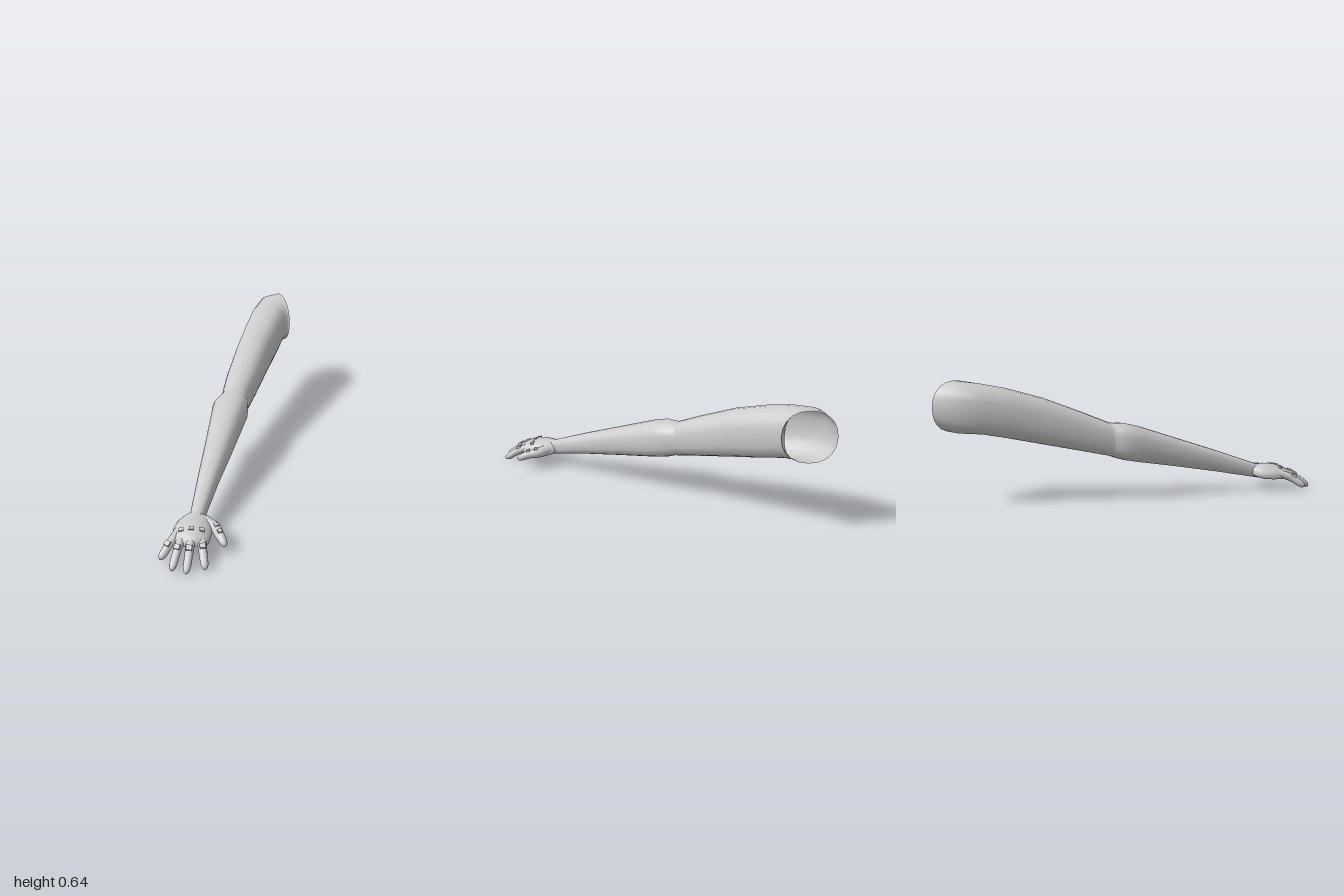
import * as THREE from 'three';
import { mergeVertices } from 'three/addons/utils/BufferGeometryUtils.js';

const grey = new THREE.MeshStandardMaterial({ color: 0xcccccc, side: THREE.DoubleSide });

// Skins rings of equal point count, listed from +z towards -z.
function loft(rings) {
  const n = rings[0].length, index = [];
  for (let i = 0; i < rings.length - 1; i++) {
    for (let j = 0; j < n; j++) {
      const a = i * n + j, b = i * n + (j + 1) % n, c = a + n, d = b + n;
      index.push(a, c, b, b, c, d);
    }
  }
  const geo = new THREE.BufferGeometry();
  geo.setAttribute('position', new THREE.Float32BufferAttribute(rings.flat(2), 3));
  geo.setIndex(index);
  geo.computeVertexNormals();
  return geo;
}

// Rounded cross-section between two x and two y limits; slant leans z with x, sag drops the sides.
function ring([z, x0, x1, y0, y1], { slant = 0, sag = 0, power = 2.5, n = 20 } = {}) {
  return Array.from({ length: n }, (_, j) => {
    const a = (j / n) * Math.PI * 2;
    const c = Math.cos(a), s = Math.sin(a);
    const u = Math.sign(c) * Math.abs(c) ** (2 / power);
    const v = Math.sign(s) * Math.abs(s) ** (2 / power);
    return [
      (x0 + x1) / 2 + u * (x1 - x0) / 2,
      (y0 + y1) / 2 + v * (y1 - y0) / 2 - sag * u * u,
      z + slant * u,
    ];
  });
}

// Tapered finger with a rounded tip, following a curve.
function fingerGeometry(curve, r0, r1) {
  const geo = new THREE.TubeGeometry(curve, 20, 1, 12);
  const p = geo.attributes.position, c = new THREE.Vector3(), v = new THREE.Vector3();
  for (let i = 0; i < p.count; i++) {
    const t = Math.floor(i / 13) / 20;
    curve.getPointAt(t, c);
    const round = t > 0.8 ? Math.sqrt(Math.max(0, 1 - ((t - 0.8) / 0.2) ** 2)) : 1;
    v.fromBufferAttribute(p, i).sub(c).multiplyScalar((r0 + (r1 - r0) * t) * round).add(c);
    p.setXYZ(i, v.x, v.y, v.z);
  }
  geo.deleteAttribute('uv');
  geo.deleteAttribute('normal');
  const merged = mergeVertices(geo, 1e-5);
  merged.computeVertexNormals();
  return merged;
}

export function createModel() {
  const model = new THREE.Group();
  const add = (name, geo, parent = model) => {
    const mesh = new THREE.Mesh(geo, grey);
    mesh.name = name;
    parent.add(mesh);
    return mesh;
  };

  // Forearm, flaring from the open wrist to the elbow
  add('forearm', loft([
    [0.69, -0.205, -0.137, 0.072, 0.148],
    [0.45, -0.172, -0.068, 0.122, 0.24],
    [0.21, -0.137, 0.008, 0.167, 0.327],
    [0.02, -0.112, 0.065, 0.2, 0.395],
    [-0.05, -0.104, 0.086, 0.214, 0.411],
    [-0.09, -0.08, 0.088, 0.226, 0.412],
    [-0.12, -0.06, 0.09, 0.238, 0.416],
  ].map((r) => ring(r))));

  // Upper arm, ending in a slanted open rim that faces the body
  const upper = [
    [-0.12, -0.06, 0.09, 0.238, 0.416],
    [-0.26, -0.032, 0.145, 0.27, 0.478],
    [-0.45, 0.018, 0.212, 0.312, 0.557],
    [-0.63, 0.068, 0.278, 0.352, 0.612],
  ].map((r) => ring(r));
  upper.push(ring([-0.75, 0.108, 0.308, 0.378, 0.638], { slant: 0.03 }));
  upper.push(ring([-0.84, 0.16, 0.325, 0.386, 0.65], { slant: 0.085 }));
  upper.push(ring([-0.87, 0.25, 0.337, 0.388, 0.652], { slant: 0.128, power: 2.2 }));
  add('upperArm', loft(upper));

  // Palm, arched across its width
  const hand = new THREE.Group();
  hand.name = 'hand';
  model.add(hand);
  add('palm', loft([
    [0.865, -0.2, -0.18, 0.095, 0.1],
    [0.858, -0.245, -0.125, 0.083, 0.118],
    [0.835, -0.272, -0.107, 0.07, 0.13],
    [0.79, -0.283, -0.097, 0.068, 0.142],
    [0.745, -0.28, -0.09, 0.07, 0.148],
    [0.7, -0.266, -0.088, 0.075, 0.149],
    [0.67, -0.24, -0.108, 0.085, 0.147],
    [0.652, -0.215, -0.13, 0.1, 0.14],
    [0.648, -0.18, -0.165, 0.118, 0.122],
  ].map((r) => ring(r, { sag: 0.018, power: 2.2 }))), hand);

  // Digits: path points, root and tip radius, and where the armour blocks sit
  const digits = [
    ['littleFinger', [[-0.25, 0.103, 0.77], [-0.288, 0.081, 0.835], [-0.337, 0.03, 0.9]], [0.54]],
    ['ringFinger', [[-0.225, 0.108, 0.79], [-0.25, 0.081, 0.87], [-0.279, 0.014, 0.968]], [0.46]],
    ['middleFinger', [[-0.188, 0.11, 0.79], [-0.196, 0.084, 0.88], [-0.211, 0.012, 0.99]], [0.46]],
    ['indexFinger', [[-0.145, 0.108, 0.78], [-0.137, 0.082, 0.87], [-0.122, 0.02, 0.968]], [0.47]],
    ['thumb', [[-0.135, 0.108, 0.69], [-0.08, 0.1, 0.735], [-0.06, 0.092, 0.78], [-0.028, 0.067, 0.845]], [0.42, 0.62]],
  ];
  for (const [name, points, blocks] of digits) {
    const curve = new THREE.CatmullRomCurve3(points.map((p) => new THREE.Vector3(...p)));
    const thumb = name === 'thumb';
    add(name, fingerGeometry(curve, thumb ? 0.032 : 0.023, 0.018), hand);
    for (const t of blocks) {
      const size = thumb ? [0.022, 0.01, 0.02] : [0.028, 0.012, 0.026];
      const block = add(name + 'Block', new THREE.BoxGeometry(...size), hand);
      const c = curve.getPointAt(t);
      block.position.copy(c);
      block.lookAt(c.clone().add(curve.getTangentAt(t)));
      block.translateY(thumb ? 0.025 : 0.02);
    }
  }

  // Small plates over the knuckles
  for (const [x, y, roll] of [[-0.238, 0.131, 0.2], [-0.19, 0.138, 0], [-0.14, 0.131, -0.2]]) {
    const plate = add('knucklePlate', new THREE.BoxGeometry(0.024, 0.012, 0.018), hand);
    plate.position.set(x, y, 0.8);
    plate.rotation.set(0.25, 0, roll);
  }

  return model;
}
